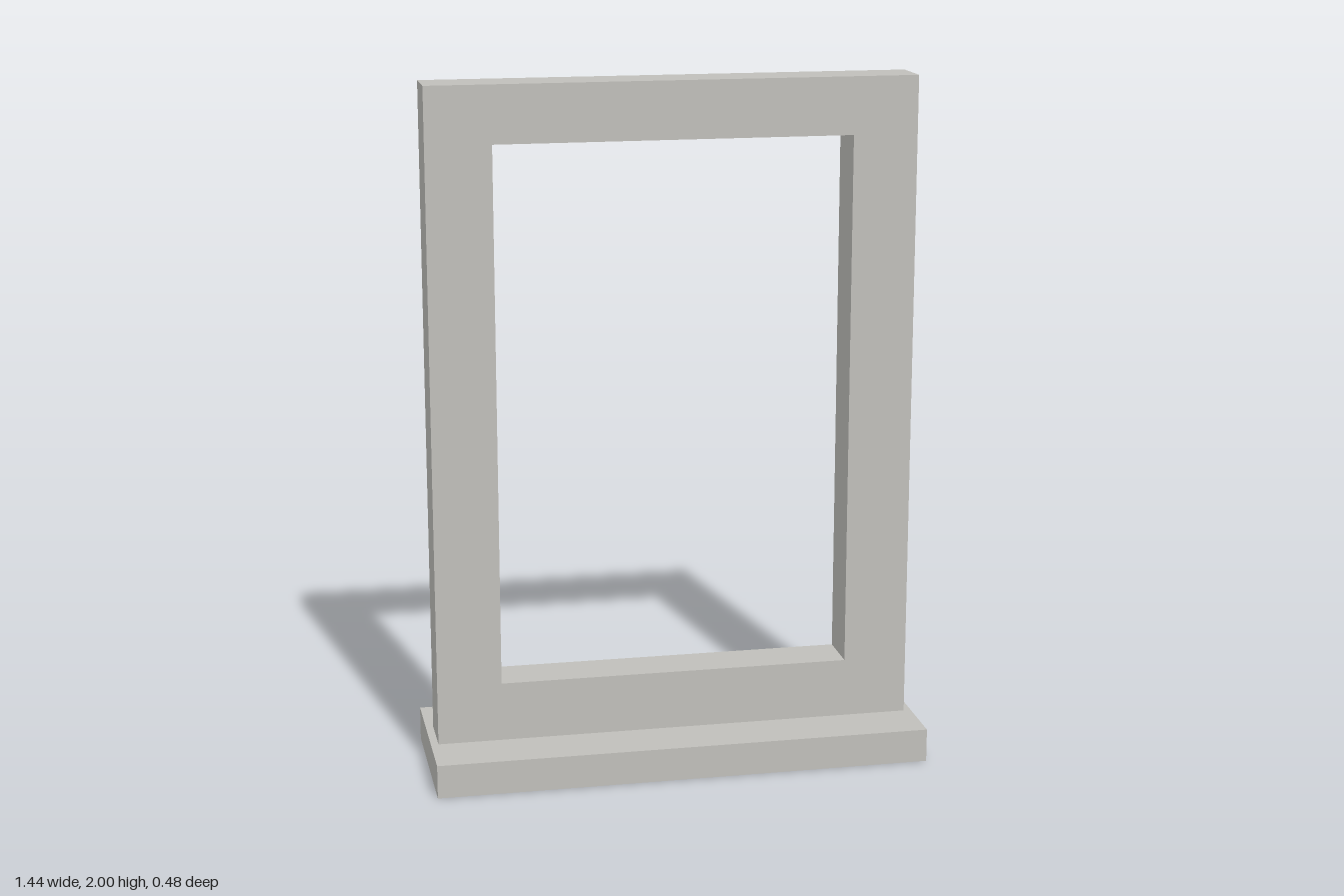
import * as THREE from 'three';

export function createModel() {
  const group = new THREE.Group();
  group.name = 'windowFrame';
  const stone = new THREE.MeshStandardMaterial({ color: 0xc0bfba });
  stone.name = 'pale grey stone';

  const sillHeight = 0.098, sillDepth = 0.476, frameDepth = 0.144;

  // Sill slab the frame stands on
  const sill = new THREE.Mesh(new THREE.BoxGeometry(1.444, sillHeight, sillDepth), stone);
  sill.name = 'sill';
  sill.position.y = sillHeight / 2;
  group.add(sill);

  // Rectangle path from its left, bottom, right and top edges
  const rect = (path, l, b, r, t) =>
    path.moveTo(l, b).lineTo(r, b).lineTo(r, t).lineTo(l, t).closePath();

  // Surround with a rectangular opening
  const outline = rect(new THREE.Shape(), -0.7, sillHeight, 0.7, 2);
  outline.holes.push(rect(new THREE.Path(), -0.513, 0.271, 0.513, 1.835));
  const geometry = new THREE.ExtrudeGeometry(outline, { depth: frameDepth, bevelEnabled: false });
  geometry.translate(0, 0, -frameDepth / 2);
  const frame = new THREE.Mesh(geometry, stone);
  frame.name = 'frame';
  group.add(frame);

  return group;
}
